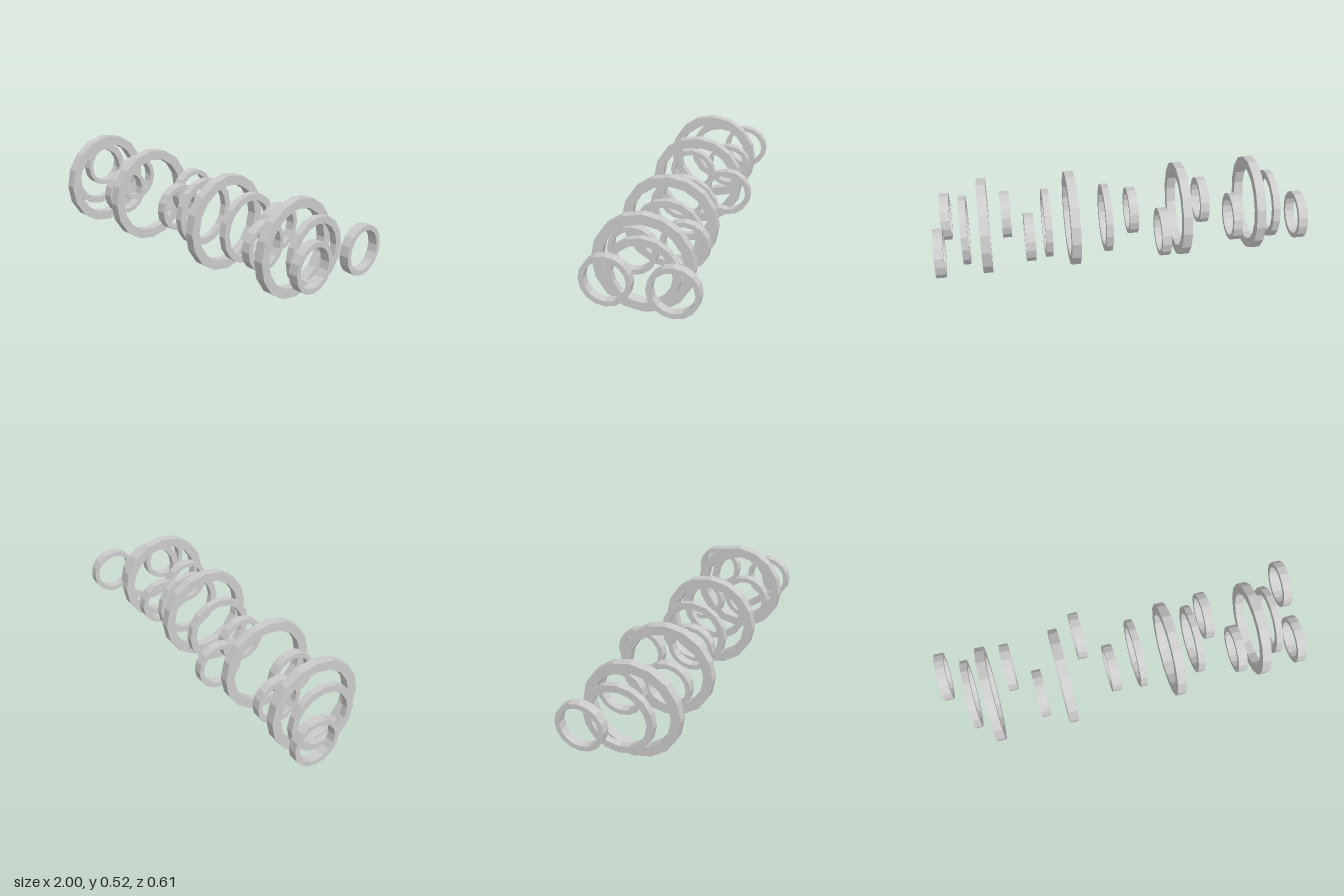
import * as THREE from 'three';

const AXIS_Y = 0.2615;
const SIDES = 16;

// Flat-sided ring with a square-edged section, its axis along x
function ringGeometry(radius, width) {
  const inner = radius * 0.8, h = width / 2;
  const profile = [[inner, -h], [radius, -h], [radius, h], [inner, h], [inner, -h]]
    .map(([x, y]) => new THREE.Vector2(x, y));
  return new THREE.LatheGeometry(profile, SIDES).rotateZ(Math.PI / 2);
}

export function createModel() {
  const model = new THREE.Group();
  model.name = 'ringRow';
  const material = new THREE.MeshStandardMaterial({ color: 0xcccccc, flatShading: true });

  // Each ring size with its positions as [x, z]
  const sets = [
    // Large rings, sharing one axis
    { name: 'largeRing', radius: 0.261, width: 0.05,
      at: [-0.75, -0.345, 0.258, 0.735].map(x => [x, 0.043]) },
    // Medium rings, sharing one axis
    { name: 'mediumRing', radius: 0.189, width: 0.037,
      at: [-0.85, 0.072, 0.398, 0.842].map(x => [x, 0.017]) },
    // Small rings, scattered to the front and back
    { name: 'smallRing', radius: 0.1305, width: 0.05,
      at: [[-0.975, -0.119], [-0.623, -0.082], [-0.484, 0.109], [-0.213, -0.164],
        [-0.078, 0.066], [0.5, -0.101], [0.615, 0.134], [0.943, 0.163], [0.975, -0.174]] },
  ];

  for (const { name, radius, width, at } of sets) {
    const geometry = ringGeometry(radius, width);
    at.forEach(([x, z], i) => {
      const ring = new THREE.Mesh(geometry, material);
      ring.name = `${name}${i + 1}`;
      ring.position.set(x, AXIS_Y, z);
      model.add(ring);
    });
  }
  return model;
}
